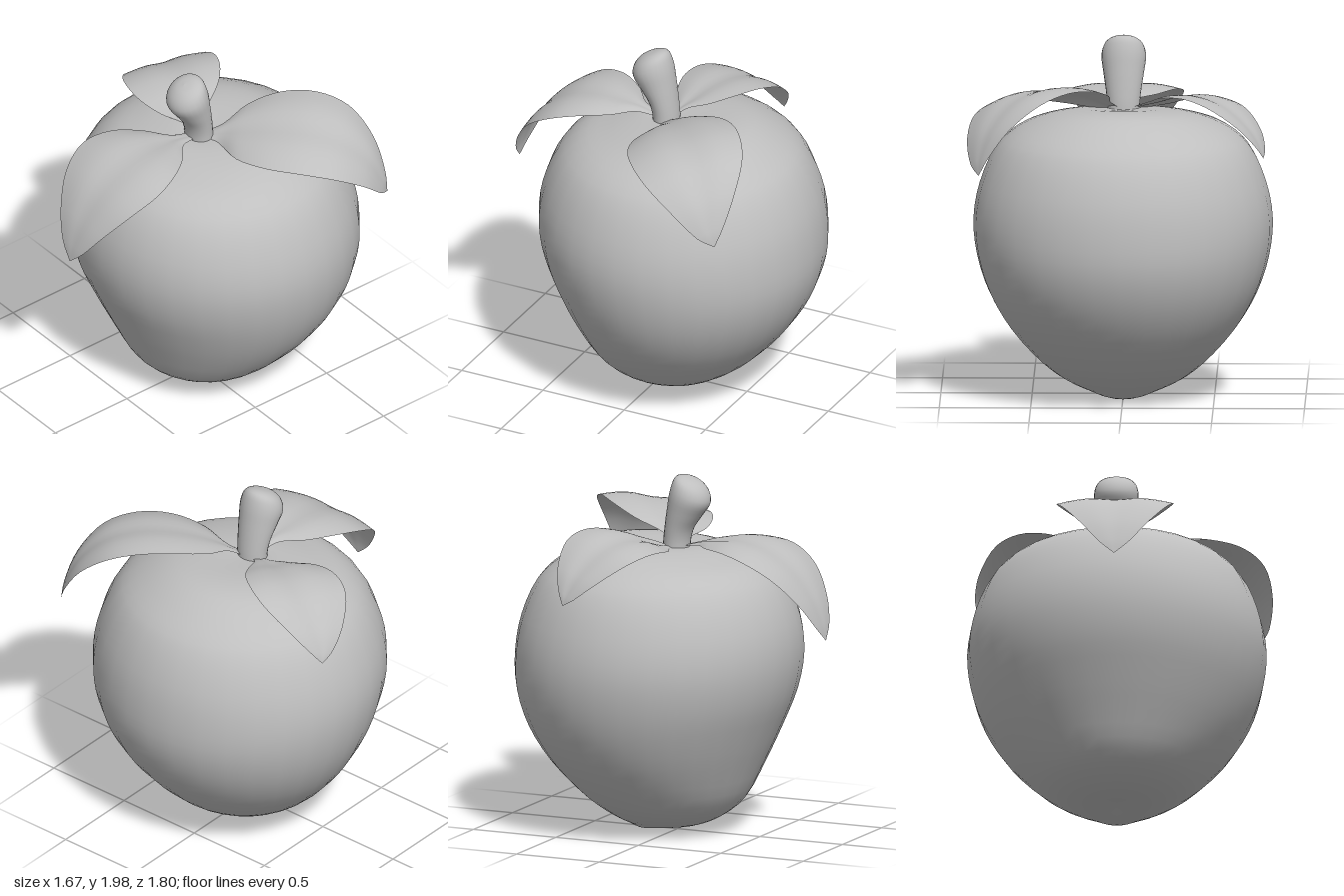
import * as THREE from 'three';

const grey = new THREE.MeshStandardMaterial({ color: 0xbfbfbf, side: THREE.DoubleSide });
grey.name = 'plain grey';

// Skin a grid of points: point(i, j) gives row i (0..rows), column j (0..cols)
function skin(name, rows, cols, closed, point) {
  const pos = [], index = [];
  const n = closed ? cols : cols + 1;
  for (let i = 0; i <= rows; i++)
    for (let j = 0; j < n; j++) pos.push(...point(i, j).toArray());
  for (let i = 0; i < rows; i++)
    for (let j = 0; j < cols; j++) {
      const k = (j + 1) % n;
      const a = i * n + j, b = i * n + k, c = a + n, d = b + n;
      index.push(a, c, b, b, c, d);
    }
  const geo = new THREE.BufferGeometry();
  geo.setAttribute('position', new THREE.Float32BufferAttribute(pos, 3));
  geo.setIndex(index);
  geo.computeVertexNormals();
  const mesh = new THREE.Mesh(geo, grey);
  mesh.name = name;
  return mesh;
}

// Round solid from tilted oval rings, top to bottom: [y, half width, z front, z back, tilt]
function ovalSolid(name, rings, rows, cols) {
  const columns = Array.from({ length: cols }, (_, j) => {
    const a = (j / cols) * Math.PI * 2;
    return new THREE.CatmullRomCurve3(rings.map(([y, w, zf, zb, tilt = 0]) => {
      const dz = ((zf - zb) / 2) * Math.cos(a);
      return new THREE.Vector3(w * Math.sin(a), y + tilt * dz, (zf + zb) / 2 + dz);
    }));
  });
  return skin(name, rows, cols, true, (i, j) => columns[j].getPoint(i / rows));
}

// Arched leaf growing from the stem towards (dx, dz); spine points are [reach, y, half width]
function leaf(name, dx, dz, spine, { roll = 0, bend = 0, droop = 0.04 }) {
  const u = new THREE.Vector2(dx, dz).normalize();
  const curve = new THREE.CatmullRomCurve3(spine.map((p) => new THREE.Vector3(...p)));
  const rows = 32, cols = 12;
  return skin(name, rows, cols, false, (i, j) => {
    const t = i / rows, s = 1 - (2 * j) / cols;
    const { x: reach, y, z: width } = curve.getPoint(t);
    const swell = Math.sin(Math.PI * t);
    const side = s * Math.max(width, 0) + bend * swell;
    // sideways roll, drooping edges and a shallow groove along the midrib
    const lift = swell * (roll * s - droop * s * s - 0.02 * Math.exp(-s * s * 9));
    return new THREE.Vector3(u.x * reach - u.y * side, y + lift, u.y * reach + u.x * side);
  });
}

export function createModel() {
  const model = new THREE.Group();
  model.name = 'fruit';

  // Fruit body with a slight dip under the stem and a small dimple at the base
  model.add(ovalSolid('fruitBody', [
    [1.585, 0, 0, 0],
    [1.60, 0.12, 0.12, -0.16, -0.05],
    [1.60, 0.27, 0.22, -0.36, -0.08],
    [1.575, 0.42, 0.32, -0.50, -0.06],
    [1.505, 0.58, 0.46, -0.66],
    [1.40, 0.695, 0.575, -0.77],
    [1.20, 0.785, 0.66, -0.86],
    [1.00, 0.82, 0.68, -0.895],
    [0.80, 0.80, 0.645, -0.89],
    [0.60, 0.735, 0.565, -0.825],
    [0.40, 0.62, 0.475, -0.70],
    [0.20, 0.445, 0.375, -0.51],
    [0.105, 0.32, 0.265, -0.375],
    [0.05, 0.20, 0.14, -0.28],
    [0.027, 0.11, 0.03, -0.20, 0.15],
    [0.05, 0, -0.06, -0.06],
  ], 45, 32));

  // Stem leaning forward, with a wider rounded end
  model.add(ovalSolid('stem', [
    [1.975, 0, 0.10, 0.10],
    [1.968, 0.06, 0.15, 0.035, -0.45],
    [1.938, 0.102, 0.183, -0.003, -0.5],
    [1.88, 0.122, 0.187, -0.03, -0.4],
    [1.79, 0.112, 0.14, -0.05, -0.25],
    [1.70, 0.098, 0.09, -0.065, -0.1],
    [1.62, 0.09, 0.07, -0.075],
    [1.50, 0.09, 0.07, -0.08],
  ], 28, 24));

  // Three leaves around the stem
  model.add(leaf('frontLeaf', 0, 1, [
    [0.04, 1.60, 0.03], [0.15, 1.635, 0.06], [0.25, 1.66, 0.175], [0.40, 1.675, 0.28],
    [0.55, 1.645, 0.322], [0.70, 1.55, 0.28], [0.82, 1.39, 0.18], [0.88, 1.24, 0.085],
    [0.90, 1.14, 0],
  ], { droop: 0.045 }));
  model.add(leaf('leftLeaf', 0.78, -0.70, [
    [0.03, 1.59, 0.03], [0.13, 1.64, 0.065], [0.25, 1.70, 0.20], [0.43, 1.75, 0.285],
    [0.62, 1.76, 0.302], [0.80, 1.71, 0.27], [0.95, 1.58, 0.175], [1.03, 1.42, 0.07],
    [1.05, 1.33, 0],
  ], { roll: -0.06, bend: 0.05, droop: 0.05 }));
  model.add(leaf('rightLeaf', -0.77, -0.33, [
    [0.03, 1.59, 0.03], [0.11, 1.62, 0.05], [0.20, 1.65, 0.14], [0.32, 1.69, 0.225],
    [0.46, 1.70, 0.262], [0.60, 1.66, 0.25], [0.75, 1.54, 0.155], [0.82, 1.43, 0.06],
    [0.84, 1.37, 0],
  ], { roll: 0.035, bend: -0.018, droop: 0.025 }));

  return model;
}
